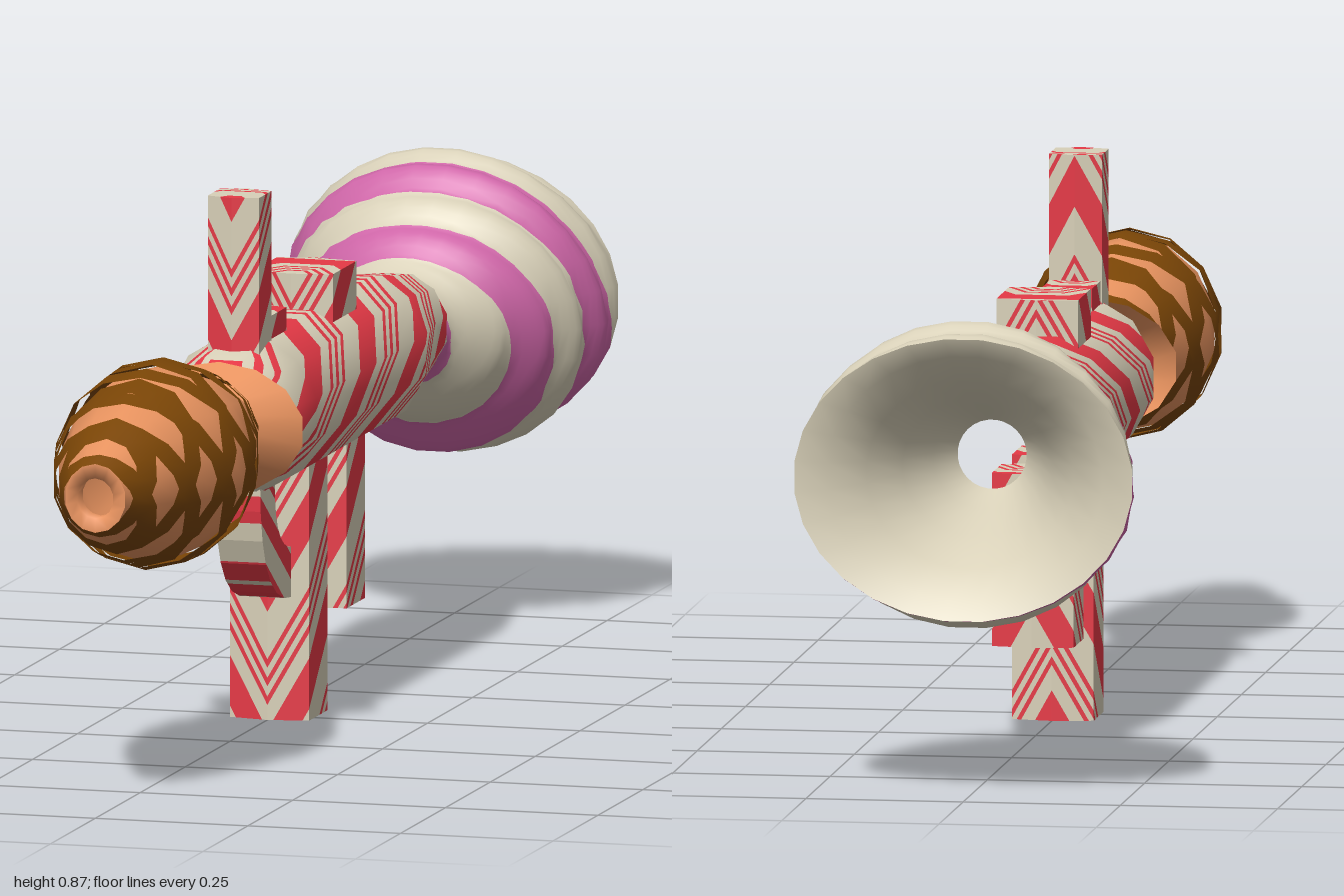
import * as THREE from 'three';

const CY = 0.51; // height of the long axis
const mat = (color, side = THREE.FrontSide) => new THREE.MeshStandardMaterial({ color, side });
const cream = mat(0xd8d0b8), red = mat(0xe63946), pink = mat(0xcf66a8);
const wafer = mat(0xe8935f, THREE.DoubleSide), brown = mat(0x7a4506, THREE.DoubleSide);

// Skin over elliptical rings [z, rx, ry]; rings running towards -z face outwards
function loft(rings, n) {
  const pos = [], idx = [];
  rings.forEach(([z, rx, ry], i) => {
    for (let j = 0; j < n; j++) {
      const t = ((j + 0.5) / n) * Math.PI * 2;
      pos.push(Math.cos(t) * rx, CY + Math.sin(t) * ry, z);
      if (i === rings.length - 1) continue;
      const a = i * n + j, b = i * n + (j + 1) % n;
      idx.push(a, a + n, b, b, a + n, b + n);
    }
  });
  const g = new THREE.BufferGeometry();
  g.setAttribute('position', new THREE.Float32BufferAttribute(pos, 3));
  g.setIndex(idx);
  g.computeVertexNormals();
  return g;
}

// Interpolate a few profile rings to evenly spaced ones
function resample(profile, count) {
  const out = [];
  for (let k = 0; k <= count; k++) {
    const z = THREE.MathUtils.lerp(profile[0][0], profile.at(-1)[0], k / count);
    let i = 0;
    while (i < profile.length - 2 && z < profile[i + 1][0]) i++;
    const a = profile[i], b = profile[i + 1], t = (z - a[0]) / (b[0] - a[0]);
    out.push([z, a[1] + (b[1] - a[1]) * t, a[2] + (b[2] - a[2]) * t]);
  }
  return out;
}

// Keep the side of a polygon where sign * (s - edge) >= 0; a corner is [x,y,z,nx,ny,nz,s]
function clip(poly, edge, sign) {
  const out = [];
  poly.forEach((p, i) => {
    const q = poly[(i + 1) % poly.length];
    const dp = sign * (p[6] - edge), dq = sign * (q[6] - edge);
    if (dp >= 0) out.push(p);
    if (dp * dq < 0) out.push(p.map((v, k) => v + (q[k] - v) * dp / (dp - dq)));
  });
  return out;
}

// Cut a surface along the edges of f: returns [between the bands, inside the bands]
function splitBands(geo, f, edges) {
  const g = geo.index ? geo.toNonIndexed() : geo;
  const P = g.attributes.position, N = g.attributes.normal;
  const data = [0, 1].map(() => ({ pos: [], nor: [] }));
  for (let i = 0; i < P.count; i += 3) {
    const tri = [0, 1, 2].map(k => {
      const x = P.getX(i + k), y = P.getY(i + k), z = P.getZ(i + k);
      return [x, y, z, N.getX(i + k), N.getY(i + k), N.getZ(i + k), f(x, y, z)];
    });
    for (let e = 0; e <= edges.length; e++) {
      let poly = tri;
      if (e > 0) poly = clip(poly, edges[e - 1], 1);
      if (e < edges.length) poly = clip(poly, edges[e], -1);
      for (let k = 1; k < poly.length - 1; k++) {
        for (const v of [poly[0], poly[k], poly[k + 1]]) {
          data[e % 2].pos.push(v[0], v[1], v[2]);
          data[e % 2].nor.push(v[3], v[4], v[5]);
        }
      }
    }
  }
  return data.map(({ pos, nor }) => {
    const out = new THREE.BufferGeometry();
    out.setAttribute('position', new THREE.Float32BufferAttribute(pos, 3));
    out.setAttribute('normal', new THREE.Float32BufferAttribute(nor, 3));
    return out;
  });
}

// One thick and three thin candy stripes per period
function candyEdges(period, start, from, to) {
  const one = [0, 0.3, 0.45, 0.5, 0.56, 0.61, 0.67, 0.72], edges = [];
  for (let k = from; k <= to; k++) one.forEach(t => edges.push(start + (k + t) * period));
  return edges;
}

function addMesh(parent, name, geo, material) {
  const m = new THREE.Mesh(geo, material);
  m.name = name;
  parent.add(m);
}

function addStriped(parent, name, geo, f, edges, bandMaterial) {
  const g = new THREE.Group();
  g.name = name;
  const [base, bands] = splitBands(geo, f, edges);
  addMesh(g, name + 'Base', base, cream);
  addMesh(g, name + 'Stripes', bands, bandMaterial);
  parent.add(g);
}

function outline(points) {
  return new THREE.Shape(points.map(p => new THREE.Vector2(p[0], p[1])));
}

// Upright block, slightly pointed at front and back, with chevron stripes
function addBlock(parent, name, w, z0, z1, y0, y1, start = 0.05) {
  const r = 0.012, zc = (z0 + z1) / 2;
  const plan = [[w, z0 + r], [0, z0], [-w, z0 + r], [-w, z1 - r], [0, z1], [w, z1 - r]];
  const g = new THREE.ExtrudeGeometry(outline(plan.map(([x, z]) => [x, -z]).reverse()),
    { depth: y1 - y0, bevelEnabled: false });
  g.rotateX(-Math.PI / 2).translate(0, y0, 0);
  const f = (x, y, z) => y + (z - zc) + Math.sign(z - zc) * 1.6 * (w - Math.abs(x));
  addStriped(parent, name, g, f, candyEdges(0.27, start, -2, 4), red);
}

export function createModel() {
  const root = new THREE.Group();
  root.name = 'candyLauncher';

  // Barrel with slanted stripes
  const barrel = loft([[0.315, 0.08, 0.085], [0.25, 0.11, 0.112], [0.18, 0.125, 0.127],
    [-0.43, 0.125, 0.127], [-0.56, 0.1, 0.105], [-0.72, 0.078, 0.08]], 12);
  addStriped(root, 'barrel', barrel, (x, y, z) => -z - 1.7 * (y - CY), candyEdges(0.3, 0.31, -4, 2), red);

  // Flared rear bell with tilted bulging bands
  const tilt = (x, y, z) => -z + 0.35 * (y - CY);
  const bell = loft(resample([[-0.66, 0.07, 0.07], [-0.7, 0.09, 0.08], [-0.75, 0.15, 0.125], [-0.82, 0.205, 0.18],
    [-0.88, 0.235, 0.225], [-0.93, 0.25, 0.235], [-1, 0.27, 0.225]], 34), 28);
  const p = bell.attributes.position;
  for (let i = 0; i < p.count; i++) {
    const z = p.getZ(i), s = tilt(0, p.getY(i), z);
    const fade = Math.min(1, (z + 1) / 0.04);
    const k = 1 + fade * 0.07 * (Math.abs(Math.sin(Math.PI * (s - 0.9) / 0.07)) - 0.4);
    p.setXY(i, p.getX(i) * k, CY + (p.getY(i) - CY) * k);
  }
  bell.computeVertexNormals();
  addStriped(root, 'bell', bell, tilt, [0.62, 0.69, 0.76, 0.83, 0.9, 0.975], pink);
  addMesh(root, 'bellInside', loft([[-1, 0.27, 0.225], [-0.985, 0.22, 0.195], [-0.93, 0.165, 0.15],
    [-0.85, 0.12, 0.11], [-0.76, 0.085, 0.08], [-0.7, 0.055, 0.055]], 28), cream);

  // Wafer rocket head: core, raised criss-cross lattice and open tip
  const headProfile = [[1, 0.05, 0.055], [0.93, 0.082, 0.087], [0.85, 0.115, 0.122], [0.72, 0.15, 0.16],
    [0.62, 0.155, 0.163], [0.5, 0.123, 0.13], [0.4, 0.093, 0.1], [0.33, 0.07, 0.075]];
  const head = new THREE.Group();
  head.name = 'rocketHead';
  root.add(head);
  addMesh(head, 'headCore', loft(headProfile.map(([z, a, b]) => [z, a * 0.92, b * 0.92]), 14), wafer);
  const shell = loft(headProfile, 14), lines = [];
  for (let s = 0.1; s < 1.3; s += 0.105) lines.push(s, s + 0.042);
  for (const dir of [-1, 1]) {
    const f = (x, y, z) => z + dir * 0.55 * (y - CY);
    addMesh(head, 'latticeBands', splitBands(shell, f, lines)[1], brown);
  }
  addMesh(head, 'tipRing', loft([[0.97, 0.03, 0.032], [1, 0.03, 0.032], [1, 0.05, 0.055]].reverse(), 14), wafer);
  addMesh(head, 'collar', loft([[0.4, 0.06, 0.06], [0.31, 0.14, 0.105]], 14), wafer);

  // Grips and sights
  addBlock(root, 'rearGrip', 0.065, -0.085, 0.042, 0, 0.42, 0.07);
  addBlock(root, 'lowerBlock', 0.065, -0.292, -0.167, 0.145, 0.42, 0.04);
  addBlock(root, 'frontSight', 0.042, 0.15, 0.242, 0.6, 0.865, 0.13);
  addBlock(root, 'frontSightFoot', 0.04, 0.06, 0.17, 0.6, 0.665);
  addBlock(root, 'rearSight', 0.065, -0.245, -0.09, 0.6, 0.69, 0.09);

  // Curved trigger guard
  const guardShape = new THREE.Shape();
  guardShape.moveTo(0.21, 0.44);
  guardShape.lineTo(0.205, 0.36);
  guardShape.quadraticCurveTo(0.185, 0.2, 0.02, 0.195);
  guardShape.lineTo(0.02, 0.275);
  guardShape.quadraticCurveTo(0.115, 0.28, 0.125, 0.37);
  guardShape.lineTo(0.125, 0.44);
  const guard = new THREE.ExtrudeGeometry(guardShape, { depth: 0.074, bevelEnabled: false, curveSegments: 6 });
  guard.rotateY(-Math.PI / 2).translate(0.037, 0, 0);
  addStriped(root, 'triggerGuard', guard, (x, y, z) => y - 0.7 * z, [0.1, 0.115, 0.135, 0.15, 0.2, 0.24, 0.28, 0.295], red);

  return root;
}
